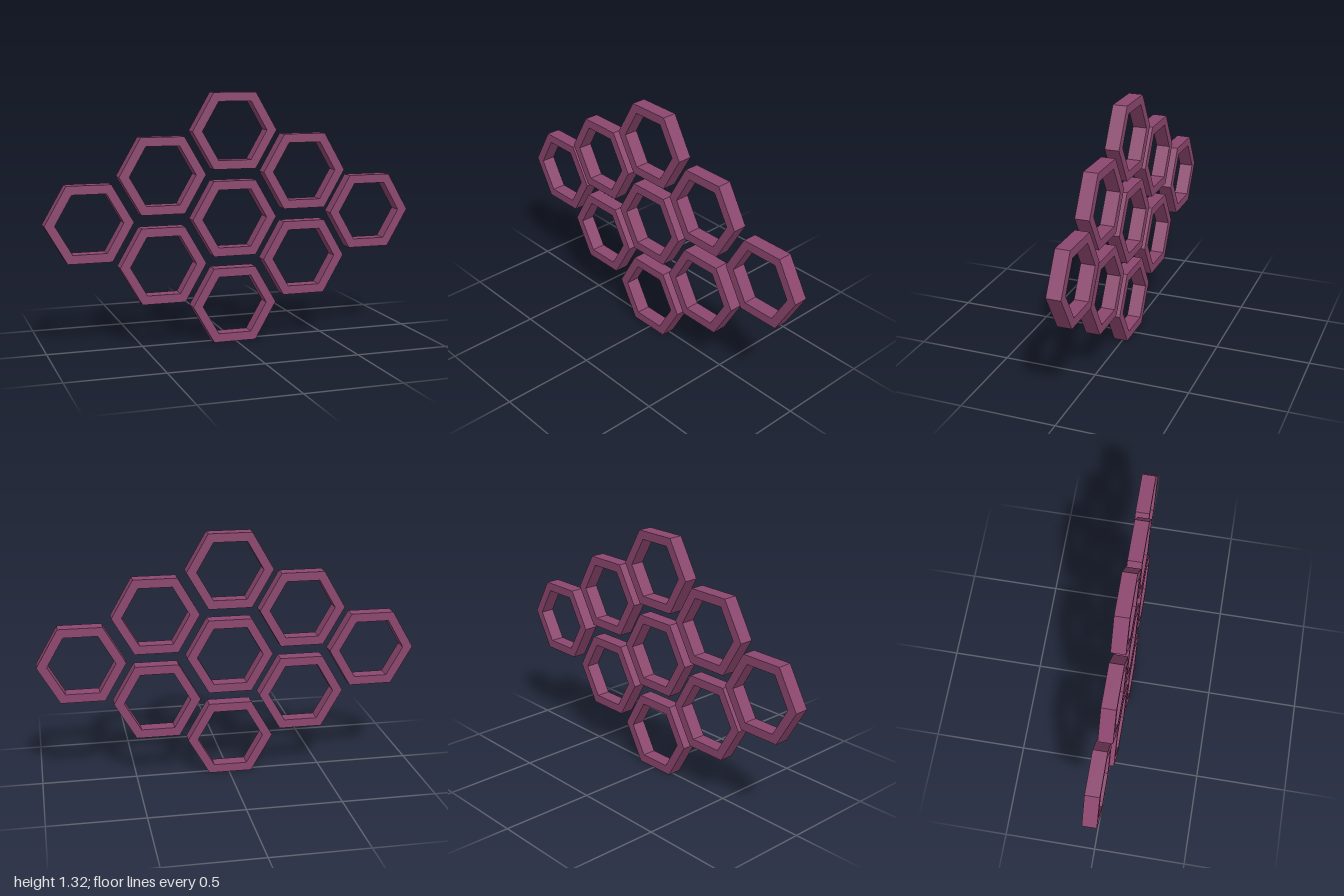
import * as THREE from 'three';

const OUTER = 0.229, INNER = 0.176, DEPTH = 0.076;

// Flat-topped hexagon outline
function hexagon(target, radius) {
  const points = [];
  for (let i = 0; i < 6; i++) {
    const a = (i * Math.PI) / 3;
    points.push(new THREE.Vector2(radius * Math.cos(a), radius * Math.sin(a)));
  }
  return target.setFromPoints(points);
}

export function createModel() {
  const group = new THREE.Group();
  group.name = 'honeycombShelves';
  const plum = new THREE.MeshStandardMaterial({ color: 0x8c466e });
  plum.name = 'plum';

  // One open hexagonal frame, shared by every cell
  const shape = hexagon(new THREE.Shape(), OUTER);
  shape.holes.push(hexagon(new THREE.Path(), INNER));
  const frame = new THREE.ExtrudeGeometry(shape, { depth: DEPTH, bevelEnabled: false });

  // Cell centres: name, x, y, back z (the outermost cells sit further back)
  const front = -0.028, back = -0.048;
  const cells = [
    ['bottomCell', -0.007, 0.199, front],
    ['centerCell', -0.007, 0.66, front],
    ['topCell', -0.007, 1.118, front],
    ['lowerRightCell', -0.393, 0.431, front],
    ['upperRightCell', -0.393, 0.896, front],
    ['lowerLeftCell', 0.382, 0.431, front],
    ['upperLeftCell', 0.382, 0.896, front],
    ['outerRightCell', -0.771, 0.662, back],
    ['outerLeftCell', 0.771, 0.662, back],
  ];
  for (const [name, x, y, z] of cells) {
    const cell = new THREE.Mesh(frame, plum);
    cell.name = name;
    cell.position.set(x, y, z);
    group.add(cell);
  }
  return group;
}
